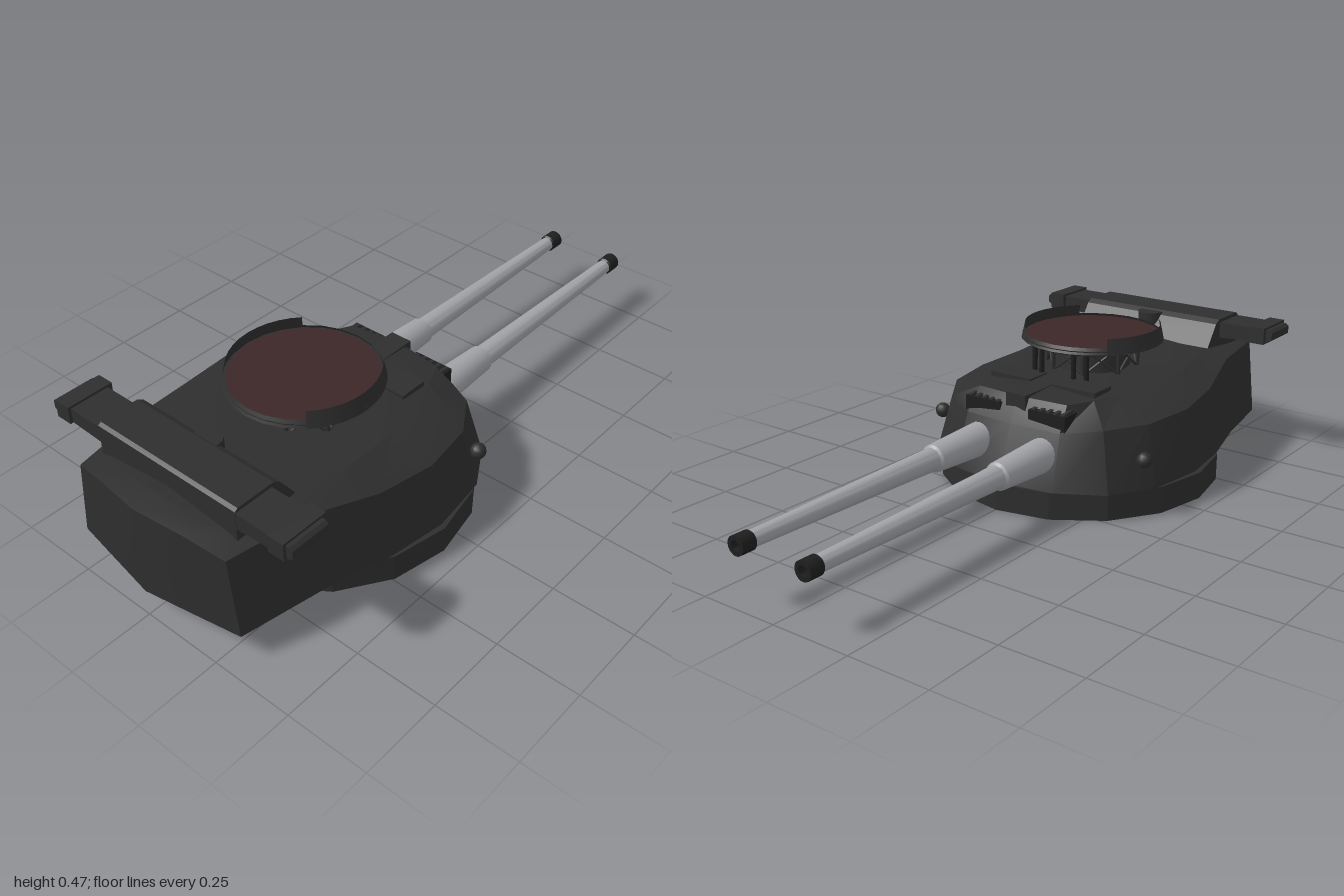
import * as THREE from 'three';
import { toCreasedNormals } from 'three/addons/utils/BufferGeometryUtils.js';

export function createModel() {
  const root = new THREE.Group();
  root.name = 'gunTurret';
  const mat = (name, color) => Object.assign(new THREE.MeshStandardMaterial({ color }), { name });
  const armour = mat('dark armour', 0x2e2e2e);
  armour.side = THREE.DoubleSide;
  const steel = mat('gun steel', 0xa0a2a6);
  const black = mat('black fittings', 0x1e1e1e);
  const deck = mat('red brown deck', 0x3c2727);

  const add = (name, geo, m, x = 0, y = 0, z = 0, parent = root) => {
    const mesh = new THREE.Mesh(geo, m);
    mesh.name = name;
    mesh.position.set(x, y, z);
    parent.add(mesh);
    return mesh;
  };
  const box = (name, w, h, d, m, x, y, z) => add(name, new THREE.BoxGeometry(w, h, d), m, x, y, z);
  const rod = (name, a, b, r, m) => {
    const dir = b.clone().sub(a);
    const mesh = add(name, new THREE.CylinderGeometry(r, r, dir.length(), 6), m);
    mesh.position.copy(a).addScaledVector(dir, 0.5);
    mesh.quaternion.setFromUnitVectors(new THREE.Vector3(0, 1, 0), dir.normalize());
  };

  // Base ring: hollow below, closed on top
  add('baseRing', toCreasedNormals(new THREE.CylinderGeometry(0.44, 0.44, 0.083, 16, 1, true), 0.3), armour, 0, 0.0415, 0.325);
  const lid = add('baseLid', new THREE.CircleGeometry(0.44, 16), armour, 0, 0.083, 0.325);
  lid.rotation.x = -Math.PI / 2;

  // Turret house: stations from rear centre round to front centre
  // [bottom x, z | shoulder x, y, z | roof edge x, y, z]
  const half = [
    [0, 1, 0, 0.37, 1, 0, 0.375, 0.93],
    [0.15, 0.975, 0.148, 0.355, 0.975, 0.14, 0.362, 0.92],
    [0.297, 0.95, 0.27, 0.327, 0.95, 0.23, 0.345, 0.88],
    [0.345, 0.7, 0.315, 0.328, 0.7, 0.24, 0.35, 0.7],
    [0.4, 0.5, 0.365, 0.288, 0.5, 0.27, 0.335, 0.5],
    [0.425, 0.32, 0.388, 0.275, 0.32, 0.26, 0.327, 0.33],
    [0.4, 0.13, 0.36, 0.27, 0.15, 0.23, 0.325, 0.2],
    [0.32, 0, 0.28, 0.265, 0.03, 0.2, 0.322, 0.1],
    [0.18, -0.08, 0.17, 0.25, -0.03, 0.16, 0.322, 0.02],
    [0, -0.105, 0, 0.25, -0.04, 0, 0.325, 0],
  ];
  const ridge = [0.375, 0.375, 0.372, 0.365, 0.35, 0.342, 0.338, 0.335, 0.33, 0.325];
  const loop = half.map((p, i) => [p, 1, i]);
  for (let i = 8; i > 0; i--) loop.push([half[i], -1, i]);
  const rings = loop.map(([p, s, i]) => [
    [s * p[0], 0.085, p[1]],
    [s * p[2], p[3], p[4]],
    [s * p[5], p[6], p[7]],
    [0, ridge[i], p[7]],
  ]);
  const pos = [];
  const tri = (a, b, c) => pos.push(...a, ...b, ...c);
  rings.forEach((a, i) => {
    const b = rings[(i + 1) % rings.length];
    for (let k = 0; k < 3; k++) {
      tri(a[k], b[k], b[k + 1]);
      tri(a[k], b[k + 1], a[k + 1]);
    }
    tri([0, 0.085, 0.4], b[0], a[0]);
  });
  const house = new THREE.BufferGeometry();
  house.setAttribute('position', new THREE.Float32BufferAttribute(pos, 3));
  add('turretHouse', toCreasedNormals(house, 0.4), armour);

  // Guns, ports and hoods
  for (const s of [-1, 1]) {
    const x = s * 0.117;
    const gun = new THREE.Group();
    gun.name = s > 0 ? 'leftGun' : 'rightGun';
    gun.position.set(x, 0.178, 0);
    gun.rotation.x = -Math.PI / 2;
    root.add(gun);
    const profile = (pts) => toCreasedNormals(
      new THREE.LatheGeometry(pts.map(([r, y]) => new THREE.Vector2(r, y)), 20), 0.6);
    add('barrel', profile([[0.055, -0.06], [0.053, 0.02], [0.042, 0.255], [0.035, 0.262], [0.023, 0.955]]), steel, 0, 0, 0, gun);
    add('muzzle', profile([[0.023, 0.95], [0.028, 0.955], [0.028, 1], [0.015, 1], [0.014, 0.955], [0, 0.955]]), black, 0, 0, 0, gun);

    box('gunPort', 0.13, 0.2, 0.13, black, x, 0.2, 0.042);
    for (let i = -2; i <= 2; i++) {
      const rib = box('portRib', 0.012, 0.016, 0.14, armour, x + i * 0.026, 0.303, 0.05);
      rib.rotation.x = -0.12;
    }
    box('portHood', 0.15, 0.035, 0.09, armour, x, 0.322, 0.16);
    // Side sight
    add('sideSight', new THREE.SphereGeometry(0.024, 12, 8), armour, s * 0.378, 0.178, 0.1);
  }
  box('centreRib', 0.07, 0.05, 0.14, armour, 0, 0.31, 0.055);

  // Rangefinder: long arm, central housing and cowl
  const extrude = (pts, depth) => new THREE.ExtrudeGeometry(
    new THREE.Shape(pts.map(([x, y]) => new THREE.Vector2(x, y))), { depth, bevelEnabled: false });
  const arm = [[0.25, 0.375], [0.422, 0.386], [0.436, 0.395], [0.436, 0.418], [0.426, 0.426]];
  const armOutline = [...arm, ...arm.map(([x, y]) => [-x, y]).reverse()];
  add('rangefinderArm', extrude(armOutline, 0.122), armour, 0, 0, 0.767);
  const cover = extrude([[0.89, 0.335], [0.89, 0.43], [0.88, 0.437], [0.76, 0.437], [0.74, 0.425], [0.69, 0.355]].reverse(), 0.5);
  cover.rotateY(-Math.PI / 2);
  add('rangefinderHousing', cover, armour, 0.25, 0, 0);
  add('housingCowl', new THREE.CylinderGeometry(0.042, 0.042, 0.09, 16), armour, 0, 0.388, 0.745);
  for (const s of [-1, 1]) box('armEndBand', 0.052, 0.053, 0.145, armour, s * 0.389, 0.407, 0.825);

  // Platform on its braced pedestal
  const cz = 0.39;
  const at = (angle, r, y) => new THREE.Vector3(Math.sin(angle) * r, y, cz + Math.cos(angle) * r);
  add('pedestal', new THREE.CylinderGeometry(0.115, 0.125, 0.1, 16), armour, 0, 0.375, cz);
  for (let i = 0; i < 8; i++) {
    const a = (i + 0.5) * Math.PI / 4, b = a + Math.PI / 4;
    rod('brace', at(a, 0.145, 0.325), at(a, 0.145, 0.425), 0.006, armour);
    rod('brace', at(a, 0.145, 0.335), at(b, 0.145, 0.42), 0.004, armour);
    rod('brace', at(b, 0.145, 0.335), at(a, 0.145, 0.42), 0.004, armour);
  }
  for (const a of [-0.5, -0.3, 0.3, 0.5]) {
    rod('frontPost', at(Math.PI + a, 0.2, 0.32), at(Math.PI + a, 0.2, 0.425), 0.008, black);
  }
  add('platform', new THREE.CylinderGeometry(0.222, 0.212, 0.016, 24), armour, 0, 0.424, cz);
  add('platformDeck', new THREE.CylinderGeometry(0.21, 0.21, 0.004, 32), deck, 0, 0.434, cz);
  add('platformRim', toCreasedNormals(new THREE.CylinderGeometry(0.214, 0.224, 0.02, 24, 1, true), 0.4), armour, 0, 0.432, cz);
  for (const s of [-1, 1]) {
    add('sideShield', new THREE.CylinderGeometry(0.213, 0.224, 0.05, 10, 1, true, s * Math.PI / 2 - Math.PI / 4, Math.PI / 2),
      armour, 0, 0.445, cz);
  }
  return root;
}
